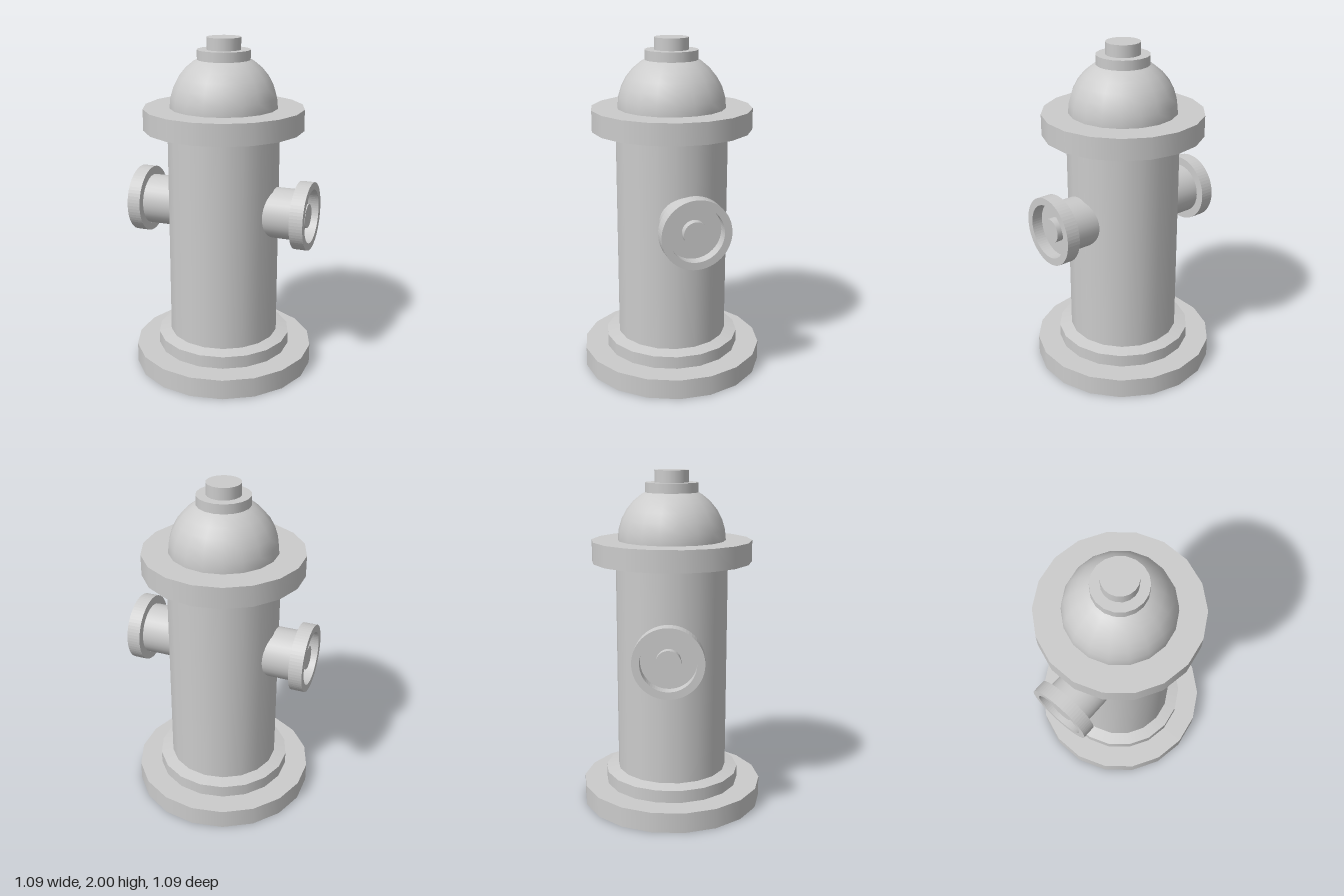
import * as THREE from 'three';

const material = new THREE.MeshStandardMaterial({ color: 0xcccccc });
const SIDES = 18;

function addMesh(parent, name, geometry) {
  const mesh = new THREE.Mesh(geometry, material);
  mesh.name = name;
  parent.add(mesh);
  return mesh;
}

// Upright disc or cylinder between two heights
function addDisc(parent, name, rBottom, rTop, y0, y1, sides = SIDES) {
  const geometry = new THREE.CylinderGeometry(rTop, rBottom, y1 - y0, sides);
  geometry.translate(0, (y0 + y1) / 2, 0);
  return addMesh(parent, name, geometry);
}

// Side outlet, built along +y from the barrel axis: pipe, hollow rim, bolt
function createOutlet(name) {
  const outlet = new THREE.Group();
  outlet.name = name;
  addDisc(outlet, 'outletPipe', 0.15, 0.15, 0.2, 0.475, 32);

  const rim = new THREE.Shape().absarc(0, 0, 0.2, 0, Math.PI * 2, false);
  rim.holes.push(new THREE.Path().absarc(0, 0, 0.157, 0, Math.PI * 2, true));
  const rimGeometry = new THREE.ExtrudeGeometry(rim, { depth: 0.08, bevelEnabled: false, curveSegments: 32 });
  rimGeometry.rotateX(-Math.PI / 2).translate(0, 0.465, 0);
  addMesh(outlet, 'outletRim', rimGeometry);

  addDisc(outlet, 'outletCap', 0.165, 0.165, 0.466, 0.48, 32);
  addDisc(outlet, 'outletBolt', 0.07, 0.07, 0.47, 0.525, 24);
  return outlet;
}

export function createModel() {
  const model = new THREE.Group();
  model.name = 'hydrant';

  // Stepped foot
  addDisc(model, 'base', 0.543, 0.543, 0, 0.12);
  addDisc(model, 'baseStep', 0.405, 0.405, 0.12, 0.195);
  addDisc(model, 'baseSlope', 0.405, 0.33, 0.195, 0.21);

  // Barrel and top flange
  addDisc(model, 'barrel', 0.33, 0.33, 0.2, 1.48);
  addDisc(model, 'flange', 0.47, 0.47, 1.475, 1.6);

  // Domed bonnet, turned so its corners line up with the flange
  const dome = new THREE.SphereGeometry(0.316, SIDES, 8, 0, Math.PI * 2, 0, Math.PI / 2);
  dome.rotateY(Math.PI / 2).translate(0, 1.6, 0);
  addMesh(model, 'dome', dome);

  // Collar and operating nut
  addDisc(model, 'collar', 0.155, 0.155, 1.873, 1.93);
  addDisc(model, 'topNut', 0.1, 0.1, 1.93, 2);

  // One outlet on each side
  for (const [side, name] of [[1, 'leftOutlet'], [-1, 'rightOutlet']]) {
    const outlet = createOutlet(name);
    outlet.rotation.z = -side * Math.PI / 2;
    outlet.position.y = 0.995;
    model.add(outlet);
  }
  return model;
}
